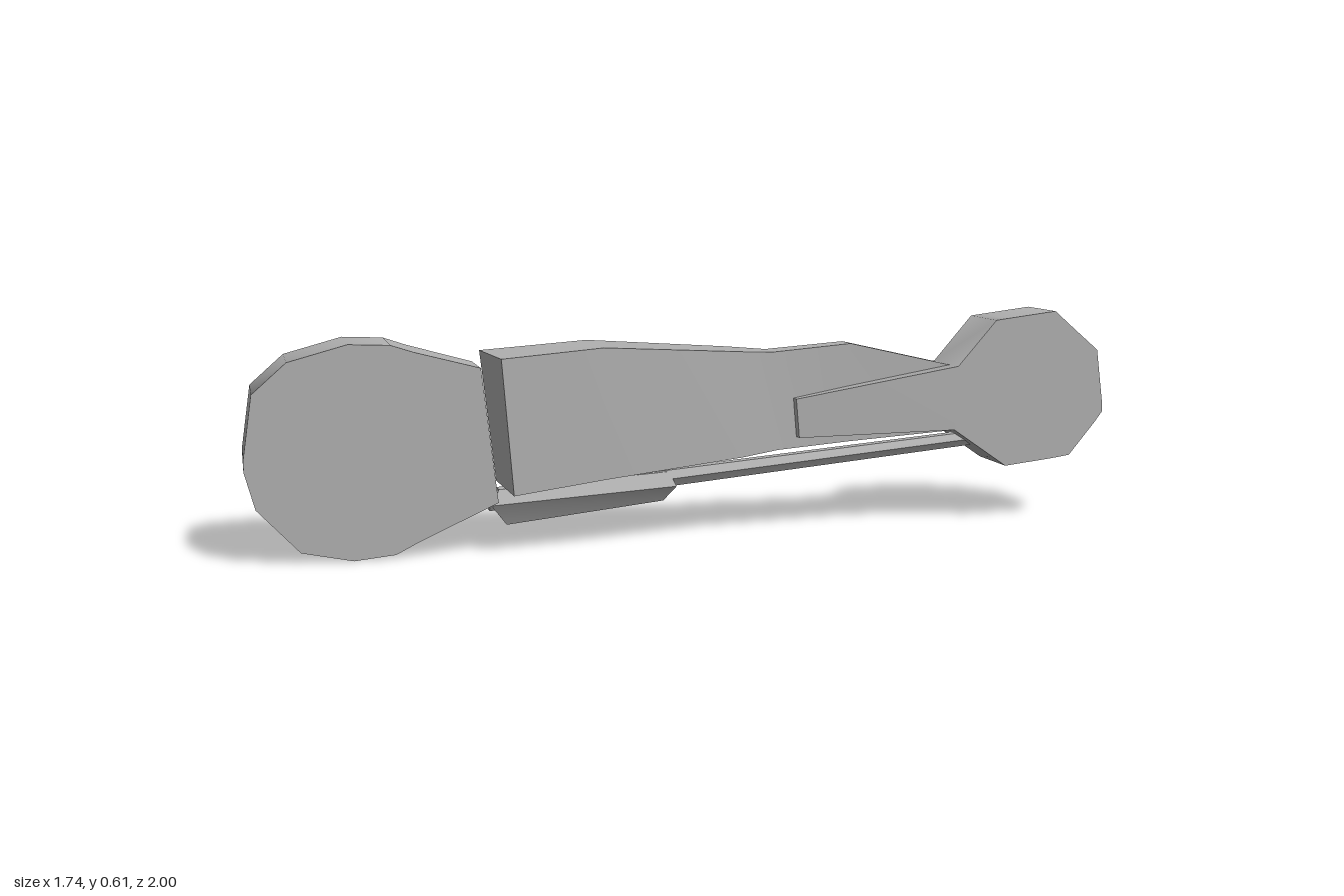
import * as THREE from 'three';
import { toCreasedNormals } from 'three/addons/utils/BufferGeometryUtils.js';

// Skin a list of closed rings (each seen counter-clockwise from +x) and cap both ends.
function loft(rings, crease) {
  const pos = [];
  const tri = (a, b, c) => pos.push(...a, ...b, ...c);
  const n = rings[0].length;
  for (let i = 0; i < rings.length - 1; i++) {
    for (let j = 0; j < n; j++) {
      const k = (j + 1) % n;
      const a = rings[i][j], b = rings[i][k], c = rings[i + 1][k], d = rings[i + 1][j];
      tri(a, b, c);
      tri(a, c, d);
    }
  }
  const first = rings[0], last = rings[rings.length - 1];
  for (let j = 1; j < n - 1; j++) {
    tri(first[0], first[j + 1], first[j]);
    tri(last[0], last[j], last[j + 1]);
  }
  const g = new THREE.BufferGeometry();
  g.setAttribute('position', new THREE.Float32BufferAttribute(pos, 3));
  return toCreasedNormals(g, crease);
}

// Rectangular ring: x at the bottom, x at the top, y range, z range.
const rect = ([xb, xt, y0, y1, z0, z1]) => [
  [xb, y0, z0], [xt, y1, z0], [xt, y1, z1], [xb, y0, z1],
];

// Six-sided ring: x at the ends and the middle, heights, half widths, centre z.
const hex = ([xb, xm, xt, yb, ym, yt, wb, wm, wt, z]) => [
  [xb, yb, z - wb], [xm, ym, z - wm], [xt, yt, z - wt],
  [xt, yt, z + wt], [xm, ym, z + wm], [xb, yb, z + wb],
];

export function createModel() {
  const grey = new THREE.MeshStandardMaterial({ color: 0xb0b0b0 });
  grey.name = 'grey';
  const model = new THREE.Group();
  const body = new THREE.Group();
  body.name = 'body';
  body.rotation.y = 0.876; // the long axis lies diagonally
  model.add(body);
  const add = (name, rings, crease = 0.3) => {
    const mesh = new THREE.Mesh(loft(rings, crease), grey);
    mesh.name = name;
    body.add(mesh);
  };

  // Large rounded end, its back face tapering toward the joint
  add('largeEnd', [
    [-1.221, -1.221, 0.255, 0.285, -0.12, 0.096],
    [-1.195, -1.195, 0.155, 0.455, -0.12, 0.096],
    [-1.085, -1.105, 0.035, 0.535, -0.12, 0.096],
    [-0.95, -0.95, 0.005, 0.577, -0.12, 0.096],
    [-0.84, -0.84, 0.015, 0.572, -0.12, 0.096],
    [-0.78, -0.78, 0.045, 0.552, -0.107, 0.096],
    [-0.565, -0.606, 0.14, 0.505, -0.068, 0.096],
  ].map(rect), 0.9);

  // Main body, thinning into a flat tongue
  const main = [
    [-0.545, -0.585, 0.17, 0.535, -0.07, 0.168],
    [-0.285, -0.285, 0.198, 0.555, -0.07, 0.151],
    [0.127, 0.127, 0.228, 0.525, -0.067, 0.08],
    [0.24, 0.225, 0.24, 0.519, -0.025, 0.055],
    [0.46, 0.46, 0.253, 0.535, -0.025, 0.042],
    [0.85, 0.82, 0.275, 0.452, -0.025, 0.042],
  ].map(rect);
  main[0][2][0] += 0.022; // front corners of the joint face lean inward
  main[0][3][0] += 0.01;
  add('mainBody', main);

  // Small rounded end with the arm that clasps the tongue
  add('smallEnd', [
    [0.295, 0.285, 0.275, 0.386, -0.052, 0.077],
    [0.765, 0.773, 0.28, 0.465, -0.073, 0.092],
    [0.889, 0.889, 0.195, 0.595, -0.075, 0.093],
    [0.93, 0.93, 0.167, 0.6, -0.075, 0.093],
    [1.077, 1.077, 0.182, 0.617, -0.076, 0.093],
    [1.136, 1.136, 0.19, 0.567, -0.077, 0.094],
    [1.217, 1.217, 0.285, 0.5, -0.078, 0.094],
    [1.24, 1.24, 0.315, 0.34, -0.079, 0.094],
  ].map(rect), 0.9);

  // Thin rod running below the body
  add('lowerRod', [
    [-0.58, -0.58, -0.58, 0.105, 0.13, 0.155, 0.015, 0.03, 0.015, 0.015],
    [0.85, 0.85, 0.85, 0.223, 0.243, 0.262, 0.015, 0.03, 0.015, 0.012],
  ].map(hex));

  // Faceted block around the rod
  add('lowerBlock', [
    [-0.534, -0.58, -0.555, 0.065, 0.126, 0.165, 0.012, 0.045, 0.02, 0.02],
    [-0.09, -0.06, -0.075, 0.107, 0.152, 0.19, 0.012, 0.045, 0.02, 0.015],
  ].map(hex));

  return model;
}
